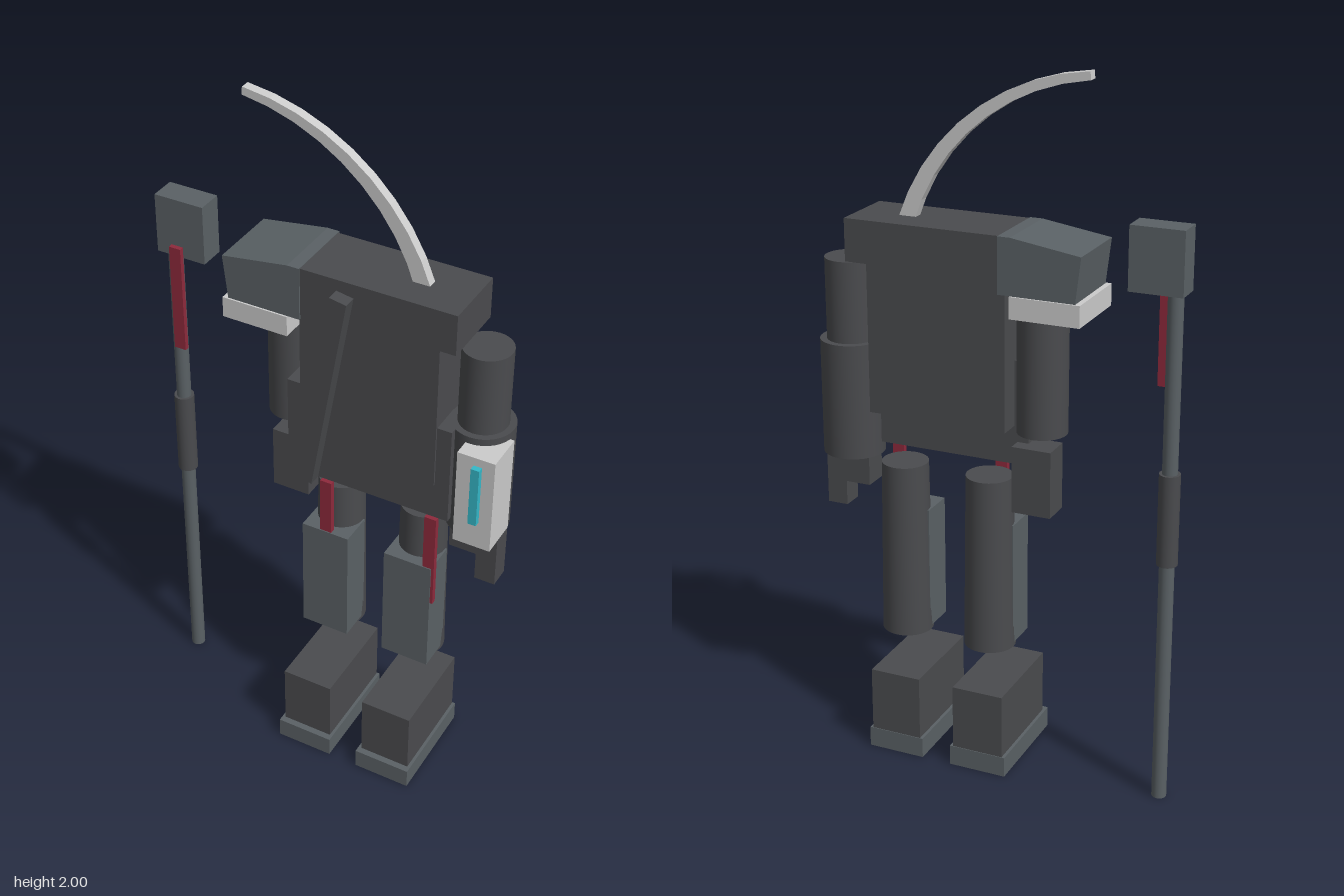
import * as THREE from 'three';

const material = (color) => new THREE.MeshStandardMaterial({ color });
const light = material(0xcccccc);
const dark = material(0x4a4b4e);
const steel = material(0x5a6165);
const red = material(0x8e2a3c);
const cyan = material(0x35b8c8);
const AXIS_Z = -0.057;

export function createModel() {
  const model = new THREE.Group();

  const add = (name, geometry, mat) => {
    const mesh = new THREE.Mesh(geometry, mat);
    mesh.name = name;
    model.add(mesh);
    return mesh;
  };
  // Box given by its extents on each axis
  const box = (name, mat, [x0, x1], [y0, y1], [z0, z1]) => {
    const mesh = add(name, new THREE.BoxGeometry(x1 - x0, y1 - y0, z1 - z0), mat);
    mesh.position.set((x0 + x1) / 2, (y0 + y1) / 2, (z0 + z1) / 2);
    return mesh;
  };
  // Upright cylinder between two heights
  const column = (name, mat, x, z, [y0, y1], rBottom, rTop = rBottom, sides = 32) => {
    const mesh = add(name, new THREE.CylinderGeometry(rTop, rBottom, y1 - y0, sides), mat);
    mesh.position.set(x, (y0 + y1) / 2, z);
    return mesh;
  };

  // Boots, legs and shin guards
  for (const [side, x] of [['right', 0.017], ['left', 0.275]]) {
    const span = (w) => [x - w / 2, x + w / 2];
    box(side + 'Sole', steel, span(0.17), [0, 0.06], [-0.15, 0.167]);
    box(side + 'Boot', dark, span(0.152), [0.06, 0.25], [-0.148, 0.148]);
    column(side + 'Leg', dark, x, AXIS_Z, [0.37, 0.88], 0.073, 0.066);
    box(side + 'ShinGuard', steel, span(0.144), [0.38, 0.74], [-0.06, 0.041]);
  }

  // Torso
  box('chest', dark, [-0.058, 0.345], [1.035, 1.5], [-0.125, 0.042]);
  box('collar', dark, [-0.055, 0.39], [1.465, 1.583], [-0.158, 0.043]);
  box('skirt', dark, [-0.1, 0.387], [0.925, 1.22], [-0.06, 0.036]);
  const sash = box('sash', dark, [0.003, 0.053], [0.938, 1.556], [0.05, 0.088]);
  sash.rotation.z = -0.168;

  // Hanging ribbons
  for (const x of [0.0, 0.32]) box('ribbon', red, [x, x + 0.035], [0.615, 0.915], [0.022, 0.038]);

  // Shoulder guard with sloping top, and its trim
  const outline = [[-0.285, 1.555], [-0.27, 1.43], [-0.055, 1.43], [-0.055, 1.584], [-0.09, 1.584]];
  const guard = new THREE.Shape(outline.map(([x, y]) => new THREE.Vector2(x, y)));
  add('shoulderGuard', new THREE.ExtrudeGeometry(guard, { depth: 0.212, bevelEnabled: false }), steel)
    .position.z = -0.165;
  box('shoulderTrim', light, [-0.285, -0.09], [1.37, 1.43], [-0.17, 0.052]);

  // Right arm and hand
  column('rightArm', dark, -0.148, -0.08, [1.04, 1.43], 0.069);
  box('rightHand', dark, [-0.18, -0.067], [0.8, 0.99], [-0.1, -0.015]);

  // Left arm, hand and forearm device
  column('leftUpperArm', dark, 0.433, AXIS_Z, [1.2, 1.45], 0.068);
  column('leftForearm', dark, 0.433, AXIS_Z, [0.89, 1.22], 0.087);
  box('leftHand', dark, [0.372, 0.485], [0.8, 0.92], [-0.09, -0.015]);
  box('leftThumb', dark, [0.455, 0.515], [0.72, 0.91], [-0.073, -0.01]);
  box('forearmDevice', light, [0.423, 0.53], [0.91, 1.2], [-0.038, 0.077]);
  box('deviceLight', cyan, [0.47, 0.494], [0.995, 1.175], [0.077, 0.094]);

  // Staff with grip, head and ribbon
  column('staffPole', steel, -0.5, AXIS_Z, [0, 1.48], 0.021, 0.021, 16);
  column('staffGrip', dark, -0.5, AXIS_Z, [0.71, 0.97], 0.029, 0.029, 16);
  box('staffHead', steel, [-0.532, -0.384], [1.46, 1.633], [-0.095, -0.02]);
  box('staffRibbon', red, [-0.473, -0.438], [1.185, 1.507], [-0.001, 0.013]);

  // Plume: a bar bent along an arc, thinning to its tip
  const plume = new THREE.BoxGeometry(1, 1, 0.028, 1, 9, 1);
  const p = plume.attributes.position;
  for (let i = 0; i < p.count; i++) {
    const t = p.getY(i) + 0.5;
    const angle = 0.31 + t * 1.155;
    const radius = 0.612 + p.getX(i) * (0.046 - 0.024 * t);
    p.setXY(i, -0.33 + radius * Math.cos(angle), 1.38 + radius * Math.sin(angle));
  }
  const bent = plume.toNonIndexed();
  bent.computeVertexNormals();
  add('plume', bent, light).position.z = AXIS_Z;

  return model;
}
